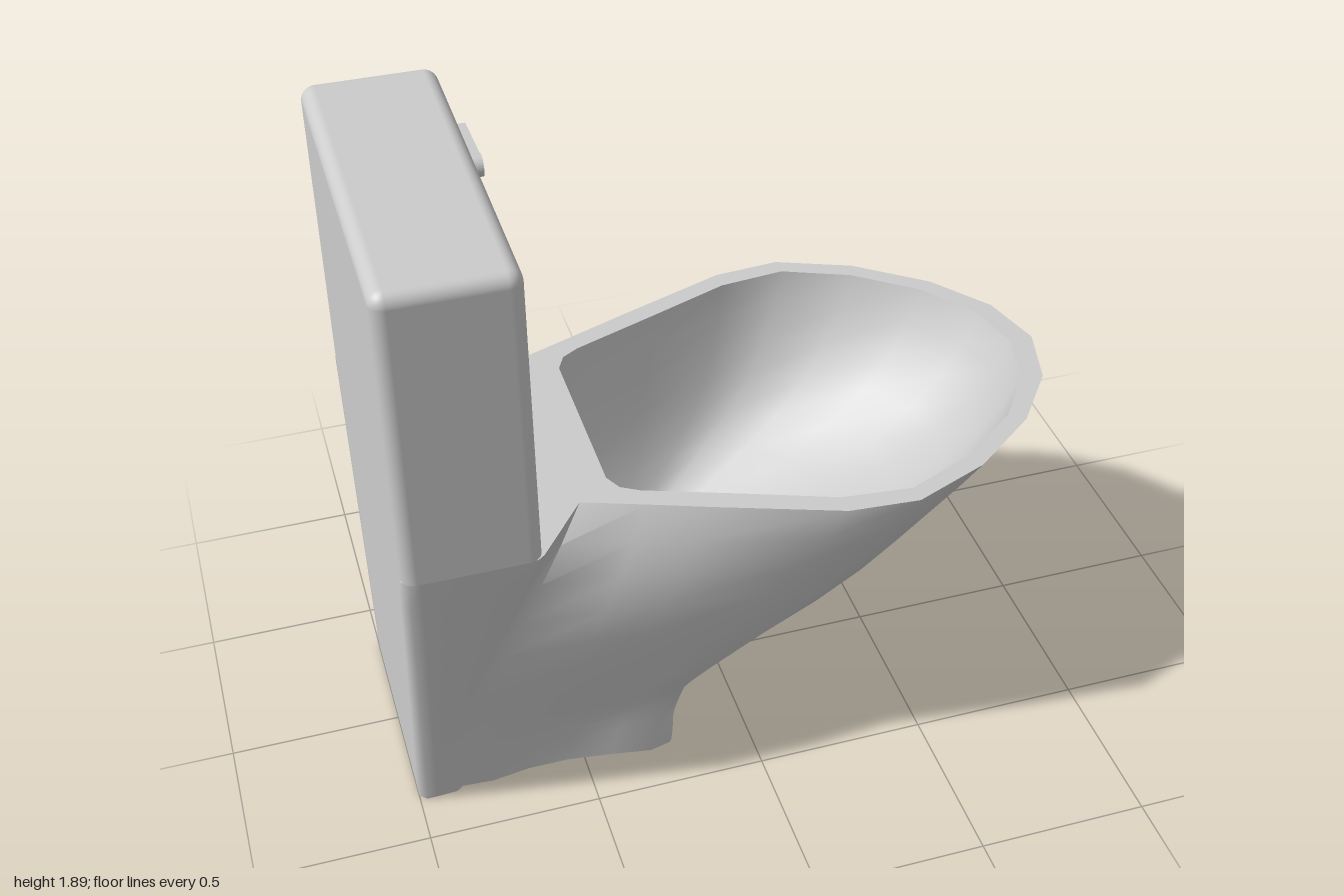
import * as THREE from 'three';
import { toCreasedNormals } from 'three/addons/utils/BufferGeometryUtils.js';
import { RoundedBoxGeometry } from 'three/addons/geometries/RoundedBoxGeometry.js';

const lerp = THREE.MathUtils.lerp;

// Linear look-up in rows of [key, value, value...]
function at(rows, key, col = 1) {
  let i = 1;
  while (i < rows.length - 1 && rows[i][0] < key) i++;
  const a = rows[i - 1], b = rows[i];
  return lerp(a[col], b[col], (key - a[0]) / (b[0] - a[0]));
}

// Half outline (front centre to back centre, +z side) to a full loop
const mirror = (half) => [...half, ...half.slice(1, -1).reverse().map(([x, z]) => [x, -z])];

// Skin a stack of loops: [{ y, loop: [[x, z], ...] }]
function loft(rings, crease) {
  const n = rings[0].loop.length, pos = [], idx = [];
  rings.forEach(({ y, loop }) => loop.forEach(([x, z]) => pos.push(x, y, z)));
  for (let j = 0; j < rings.length - 1; j++) {
    for (let i = 0; i < n; i++) {
      const a = j * n + i, b = j * n + (i + 1) % n;
      idx.push(a, a + n, b, b, a + n, b + n);
    }
  }
  const geo = new THREE.BufferGeometry();
  geo.setAttribute('position', new THREE.Float32BufferAttribute(pos, 3));
  geo.setIndex(idx);
  return toCreasedNormals(geo, crease);
}

// Flat face from a loop, facing up or down, with an optional opening
function flatFace(loop, y, up, hole) {
  const shape = new THREE.Shape(loop.map(([x, z]) => new THREE.Vector2(x, z)));
  if (hole) shape.holes.push(new THREE.Path(hole.map(([x, z]) => new THREE.Vector2(x, z))));
  return new THREE.ShapeGeometry(shape).rotateX(up ? -Math.PI / 2 : Math.PI / 2).translate(0, y, 0);
}

// Front edge of the body: height, x
const FRONT = [[0, -0.24], [0.012, -0.23], [0.06, -0.23], [0.11, -0.235], [0.15, -0.22], [0.2, -0.19],
  [0.25, -0.12], [0.3, -0.02], [0.35, 0.1], [0.42, 0.28], [0.48, 0.45], [0.58, 0.65], [0.69, 0.79],
  [0.8, 0.89], [0.9, 0.96], [1, 1]];
// Half width of the bowl: height, z
const WIDTH = [[0, 0.365], [0.2, 0.385], [0.4, 0.435], [0.6, 0.495], [0.8, 0.553], [1, 0.61]];
// Crease between bowl and tank support, and the support's front corner: height, x, z
const NOTCH = [[0, -0.78, 0.338], [0.15, -0.79, 0.362], [0.3, -0.795, 0.388], [0.5, -0.765, 0.428],
  [0.6, -0.725, 0.437], [0.7, -0.675, 0.437], [0.85, -0.58, 0.41], [1, -0.48, 0.345]];
const CORNER = [[0, -0.87, 0.347], [0.3, -0.85, 0.405], [0.5, -0.81, 0.447], [0.75, -0.715, 0.493], [1, -0.62, 0.54]];
const BACK = [[0, 0.35], [0.25, 0.4], [0.5, 0.447], [0.75, 0.493], [1, 0.54]];
// Bowl points: foot x, foot z, rim x, rim z, sideways bulge between, lag behind the front edge
const BOWL = [[-0.23, 0, 1, 0, 0, 0], [-0.23, 0.13, 0.95, 0.19, -0.02, 0], [-0.23, 0.25, 0.82, 0.365, -0.05, 0.1],
  [-0.235, 0.345, 0.62, 0.52, -0.045, 0.25], [-0.3, 0.36, 0.4, 0.61, -0.01, 0.5],
  [-0.42, 0.34, 0.2, 0.595, 0.025, 0.7], [-0.55, 0.322, -0.14, 0.472, 0.068, 0.9],
  [-0.67, 0.322, -0.31, 0.408, 0.085, 1]];

function bodyLoop(y) {
  const g = (at(FRONT, y) + 0.23) / 1.23;
  const h = (at(WIDTH, y) - 0.365) / 0.245;
  const neck = 0.07 * Math.exp(-(((y - 0.2) / 0.11) ** 2));
  const swell = Math.sin(Math.PI * y ** 1.5);
  const half = BOWL.map(([x0, z0, x1, z1, bulge, lag]) => [
    lerp(x0, x1, lerp(g, y ** 1.3, lag)),
    lerp(z0, z1, h) * (1 - neck * (1 - lag)) + bulge * swell]);
  const cx = at(CORNER, y), cz = at(CORNER, y, 2), bz = at(BACK, y);
  half.push([at(NOTCH, y), at(NOTCH, y, 2)], [cx, cz - 0.015], [cx - 0.02, cz],
    [-0.95, bz], [-0.98, bz], [-1, bz - 0.02], [-1, bz - 0.05], [-1, 0]);
  return mirror(half);
}

// Opening of the bowl at the rim
const OPENING = [[0.93, 0], [0.89, 0.17], [0.78, 0.33], [0.6, 0.47], [0.4, 0.555], [0.2, 0.535],
  [-0.06, 0.437], [-0.31, 0.345], [-0.36, 0.315], [-0.385, 0.265], [-0.385, 0.12], [-0.385, 0]];
// Inside of the bowl: height, front x, back x, width factor
const INSIDE = [[1, 0.93, -0.385, 1], [0.9, 0.885, -0.383, 0.96], [0.8, 0.81, -0.38, 0.9],
  [0.7, 0.71, -0.375, 0.83], [0.61, 0.57, -0.37, 0.74], [0.53, 0.38, -0.36, 0.63],
  [0.46, 0.18, -0.35, 0.5], [0.4, 0.01, -0.335, 0.38], [0.36, -0.1, -0.31, 0.25], [0.345, -0.2, -0.22, 0.02]];

export function createModel() {
  const group = new THREE.Group();
  const material = new THREE.MeshStandardMaterial({ color: 0xcccccc });
  const add = (name, geo, parent = group) => {
    const mesh = new THREE.Mesh(geo, material);
    mesh.name = name;
    parent.add(mesh);
  };

  // Pedestal and outer bowl
  add('pedestal', loft(FRONT.map(([y]) => ({ y, loop: bodyLoop(y) })), 1.15));
  add('underside', flatFace(bodyLoop(0), 0, false));

  // Rim with the deck under the tank
  add('rim', flatFace(bodyLoop(1), 1, true, mirror(OPENING)));

  // Hollow of the bowl
  const inside = INSIDE.map(([y, front, back, w]) => ({
    y, loop: mirror(OPENING.map(([x, z]) => [lerp(back, front, (x + 0.385) / 1.315), z * w])),
  }));
  add('bowlInside', loft(inside, 0.9));

  // Tank: rounded box, cut flat where it meets the deck
  const tank = new RoundedBoxGeometry(0.375, 0.96, 1.09, 4, 0.04).translate(-0.8125, 1.414, 0);
  const p = tank.attributes.position;
  for (let i = 0; i < p.count; i++) p.setY(i, Math.max(1, p.getY(i)));
  add('tank', tank);

  // Flush handle: round hub and tapered lever
  const handle = new THREE.Group();
  handle.name = 'flushHandle';
  handle.position.set(-0.64, 1.73, -0.247);
  group.add(handle);
  add('hub', new THREE.CylinderGeometry(0.032, 0.032, 0.07, 20).rotateZ(Math.PI / 2).translate(0.035, 0, 0), handle);
  const lever = new THREE.Shape();
  lever.absarc(0, 0, 0.032, Math.PI * 0.28, Math.PI * 1.72, false);
  lever.absarc(0.205, 0, 0.015, -Math.PI * 0.45, Math.PI * 0.45, false);
  add('lever', new THREE.ExtrudeGeometry(lever, { depth: 0.024, bevelEnabled: false, curveSegments: 10 })
    .rotateY(Math.PI / 2).translate(0.047, 0, 0), handle);

  return group;
}
